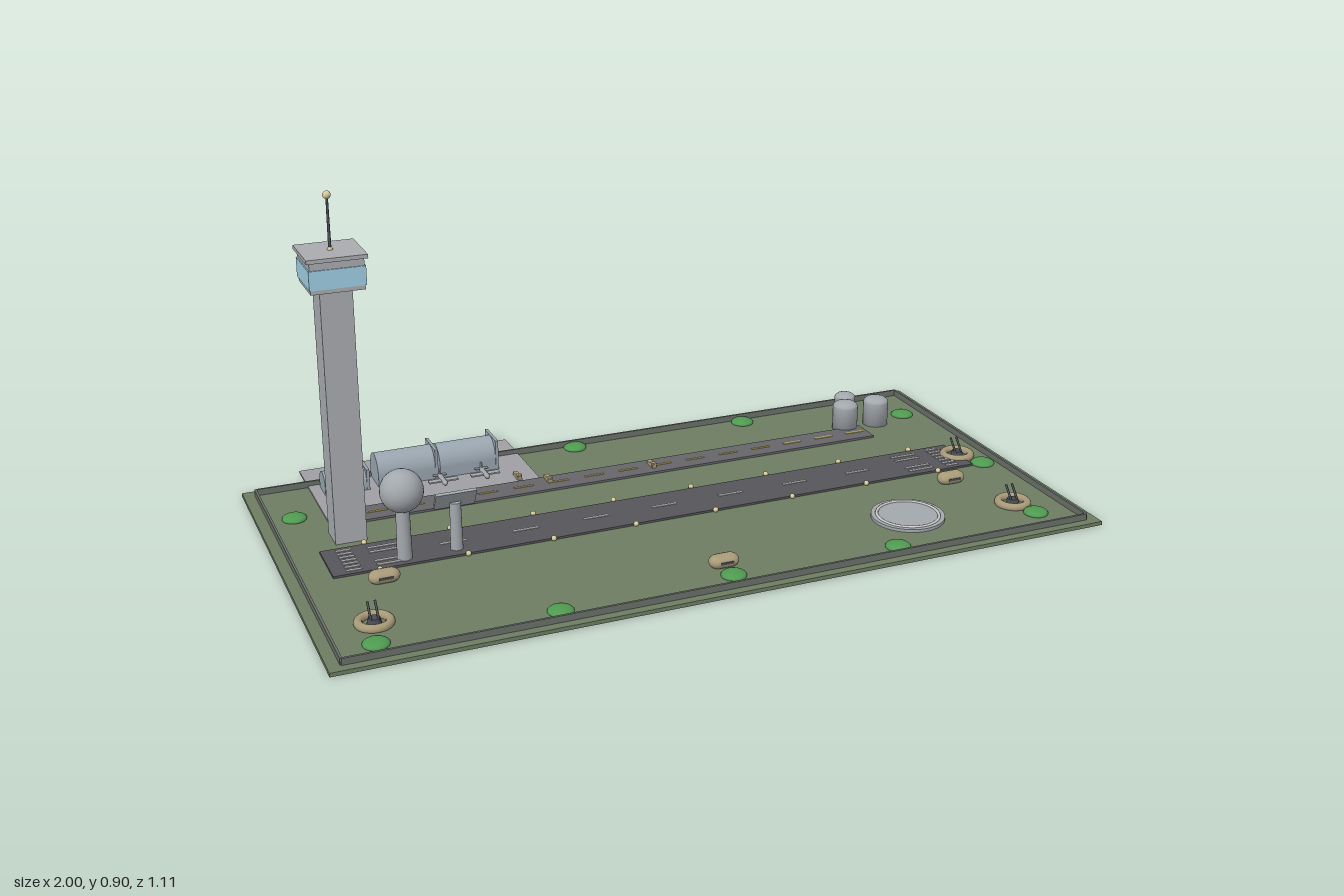
import * as THREE from 'three';

const mat = (color) => new THREE.MeshStandardMaterial({ color });
const M = {
  grass: mat(0x6e7d62), fence: mat(0x6a706a), asphalt: mat(0x55555a), taxi: mat(0x66666a),
  apron: mat(0xa0a0a4), white: mat(0xdddddd), yellow: mat(0xc9b860), concrete: mat(0xa9acb0),
  glass: mat(0x9fcfe4), steel: mat(0xa3a8ad), hangar: mat(0x9aa6b0), dark: mat(0x4a4f55),
  sand: mat(0xa89a78), bush: mat(0x4f9a50), lamp: mat(0xd8cc9a), grey: mat(0xcccccc),
};
const TOP = 0.01; // ground surface

function add(parent, name, geo, material, x = 0, y = 0, z = 0) {
  const m = new THREE.Mesh(geo, material);
  m.name = name;
  m.position.set(x, y, z);
  parent.add(m);
  return m;
}
const box = (p, name, w, h, d, material, x, y, z) =>
  add(p, name, new THREE.BoxGeometry(w, h, d), material, x, y, z);
const cyl = (p, name, r0, r1, h, material, x, y, z, n = 24) =>
  add(p, name, new THREE.CylinderGeometry(r0, r1, h, n), material, x, y, z);
const ball = (p, name, r, material, x, y, z) =>
  add(p, name, new THREE.SphereGeometry(r, 24, 16), material, x, y, z);
function group(parent, name, x = 0, y = 0, z = 0) {
  const g = new THREE.Group();
  g.name = name;
  g.position.set(x, y, z);
  parent.add(g);
  return g;
}

function buildGround(root) {
  box(root, 'ground', 2, TOP, 1.03, M.grass, 0, TOP / 2, 0.035);
  const f = group(root, 'perimeterFence', 0, 0.018, 0.036);
  for (const s of [-1, 1]) {
    box(f, 'fenceLong', 1.936, 0.018, 0.006, M.fence, 0, 0, s * 0.488);
    box(f, 'fenceShort', 0.006, 0.018, 0.976, M.fence, s * 0.968, 0, 0);
  }
  box(root, 'apron', 0.59, 0.006, 0.37, M.apron, -0.535, 0.0115, -0.375);
}

function buildRunways(root) {
  const r = group(root, 'runway', 0, 0, 0.035);
  box(r, 'runwaySurface', 1.78, 0.006, 0.15, M.asphalt, 0, 0.0125, 0);
  const mark = (w, d, x, z) => box(r, 'runwayMark', w, 0.002, d, M.white, x, 0.0163, z);
  for (let i = -3; i <= 3; i++) mark(0.07, 0.008, i * 0.19, 0);
  for (const s of [-1, 1]) {
    for (let i = 0; i < 7; i++) mark(0.038, 0.008, s * 0.835, -0.057 + i * 0.019);
    for (const z of [-0.047, -0.022, 0.03, 0.052]) mark(0.075, 0.008, s * 0.74, z);
    for (let i = 0; i < 8; i++)
      ball(r, 'edgeLight', 0.007, M.lamp, -0.777 + i * 0.222, 0.017, s * 0.08);
  }
  const t = group(root, 'taxiway', 0, 0, -0.218);
  box(t, 'taxiwaySurface', 1.48, 0.006, 0.085, M.taxi, 0, 0.0135, 0);
  for (let i = 0; i < 15; i++)
    box(t, 'taxiwayDash', 0.055, 0.002, 0.007, M.yellow, -0.7 + i * 0.1, 0.0173, 0);
}

function buildTower(root) {
  const t = group(root, 'controlTower', -0.802, 0, -0.112);
  box(t, 'towerShaft', 0.08, 0.665, 0.08, M.concrete, 0, 0.3425, 0);
  box(t, 'cabFloor', 0.132, 0.012, 0.132, M.concrete, 0, 0.677, 0);
  box(t, 'cabWindows', 0.138, 0.048, 0.138, M.glass, 0, 0.706, 0);
  box(t, 'cabHeader', 0.132, 0.02, 0.132, M.concrete, 0, 0.739, 0);
  box(t, 'cabRoof', 0.148, 0.01, 0.148, M.concrete, 0, 0.754, 0);
  cyl(t, 'antennaMast', 0.003, 0.004, 0.13, M.dark, 0, 0.824, 0, 8);
  ball(t, 'mastFoot', 0.007, M.lamp, 0, 0.76, 0);
  ball(t, 'mastBeacon', 0.01, M.lamp, 0, 0.893, 0);
}

function buildRadars(root) {
  const d = group(root, 'radomeRadar', -0.705, 0, 0.075);
  cyl(d, 'radomePedestal', 0.017, 0.019, 0.14, M.steel, 0, 0.08, 0);
  ball(d, 'radome', 0.054, M.steel, 0, 0.194, 0);
  const s = group(root, 'searchRadar', -0.572, 0, 0.072);
  cyl(s, 'radarPost', 0.014, 0.016, 0.13, M.steel, 0, 0.075, 0);
  box(s, 'radarPanel', 0.104, 0.052, 0.008, M.steel, 0, 0.148, 0).rotation.x = 0.5;
}

// barrel-vaulted shed running along x, with a tall end wall
function hangar(root, x, z, length, depth, height) {
  const g = group(root, 'hangar', x, TOP, z);
  const half = depth / 2, wall = height * 0.4, shape = new THREE.Shape();
  shape.moveTo(-half, 0);
  shape.lineTo(half, 0);
  shape.lineTo(half, wall);
  shape.absellipse(0, wall, half, height - wall, 0, Math.PI, false);
  shape.lineTo(-half, 0);
  const geo = new THREE.ExtrudeGeometry(shape, { depth: length, bevelEnabled: false, curveSegments: 20 });
  geo.translate(0, 0, -length / 2).rotateY(Math.PI / 2);
  add(g, 'hangarVault', geo, M.hangar);
  box(g, 'hangarEndWall', 0.008, height + 0.004, depth + 0.004, M.hangar, length / 2, height / 2, 0);
  box(g, 'hangarDoor', 0.003, height * 0.7, depth * 0.7, M.dark, length / 2 + 0.005, height * 0.35, 0);
}

function buildPlane(root, x, z) {
  const p = group(root, 'parkedPlane', x, 0.026, z);
  const body = add(p, 'fuselage', new THREE.CapsuleGeometry(0.007, 0.052, 4, 10), M.steel);
  body.rotation.x = Math.PI / 2;
  box(p, 'wings', 0.08, 0.004, 0.018, M.steel, 0, 0, 0.006);
  box(p, 'tailplane', 0.036, 0.003, 0.01, M.steel, 0, 0.002, -0.027);
  box(p, 'fin', 0.003, 0.016, 0.012, M.steel, 0, 0.01, -0.027);
}

function buildTank(root, x, z, r, height) {
  const profile = [[0.001, 0], [r, 0], [r, height * 0.8], [r * 0.95, height * 0.87],
    [r * 0.75, height * 0.94], [r * 0.4, height * 0.985], [0, height]]
    .map(([a, b]) => new THREE.Vector2(a, b));
  add(root, 'fuelTank', new THREE.LatheGeometry(profile, 28), M.steel, x, TOP, z);
}

function buildGunPit(root, x, z) {
  const g = group(root, 'gunPit', x, TOP, z);
  add(g, 'sandbagRing', new THREE.TorusGeometry(0.037, 0.011, 10, 28), M.sand, 0, 0.005, 0)
    .rotation.x = Math.PI / 2;
  cyl(g, 'gunMount', 0.014, 0.018, 0.016, M.dark, 0, 0.008, 0, 12);
  for (const s of [-1, 1])
    cyl(g, 'gunBarrel', 0.003, 0.003, 0.048, M.dark, s * 0.009, 0.029, -0.006, 8).rotation.x = -0.7;
}

function buildHelipad(root) {
  const h = group(root, 'helipad', 0.555, TOP, 0.333);
  cyl(h, 'padDisc', 0.095, 0.095, 0.008, M.steel, 0, 0.004, 0, 40);
  add(h, 'padRing', new THREE.TorusGeometry(0.08, 0.004, 8, 40), M.grey, 0, 0.008, 0)
    .rotation.x = Math.PI / 2;
}

export function createModel() {
  const root = new THREE.Group();
  root.name = 'airfield';
  buildGround(root);
  buildRunways(root);
  buildTower(root);
  buildRadars(root);
  buildHelipad(root);

  hangar(root, -0.743, -0.4, 0.115, 0.07, 0.06);
  hangar(root, -0.577, -0.41, 0.16, 0.09, 0.086);
  hangar(root, -0.407, -0.41, 0.16, 0.09, 0.086);
  for (const x of [-0.61, -0.492, -0.375]) buildPlane(root, x, -0.328);

  // small service trucks
  for (const [x, z] of [[-0.295, -0.285], [-0.225, -0.235], [0.07, -0.22]]) {
    const t = group(root, 'serviceTruck', x, 0.016, z);
    box(t, 'truckBed', 0.012, 0.01, 0.04, M.sand, 0, 0.005, 0);
    box(t, 'truckCab', 0.014, 0.014, 0.012, M.sand, 0, 0.007, 0.012);
  }

  buildTank(root, 0.7, -0.275, 0.036, 0.084);
  buildTank(root, 0.8, -0.275, 0.036, 0.084);
  buildTank(root, 0.75, -0.37, 0.03, 0.069);

  for (const [x, z] of [[-0.855, 0.367], [0.85, 0.367], [0.888, 0.032]]) buildGunPit(root, x, z);

  // low rounded bunkers
  for (const [x, z] of [[-0.78, 0.167], [0.775, 0.182], [0, 0.405]]) {
    const b = group(root, 'bunker', x, 0.024, z);
    const dome = add(b, 'bunkerDome', new THREE.CapsuleGeometry(0.023, 0.032, 8, 20), M.sand);
    dome.rotation.z = Math.PI / 2;
    dome.scale.x = 0.75;
    box(b, 'bunkerSlit', 0.036, 0.006, 0.004, M.dark, 0, 0.002, 0.022);
  }

  // flattened bushes around the edge
  for (const [x, z] of [[-0.905, -0.265], [-0.075, -0.435], [0.443, -0.427], [0.905, -0.3],
    [0.925, 0.105], [0.873, 0.44], [0.443, 0.477], [0, 0.463], [-0.445, 0.475], [-0.875, 0.463]])
    ball(root, 'bush', 0.032, M.bush, x, 0.012, z).scale.y = 0.37;

  return root;
}
